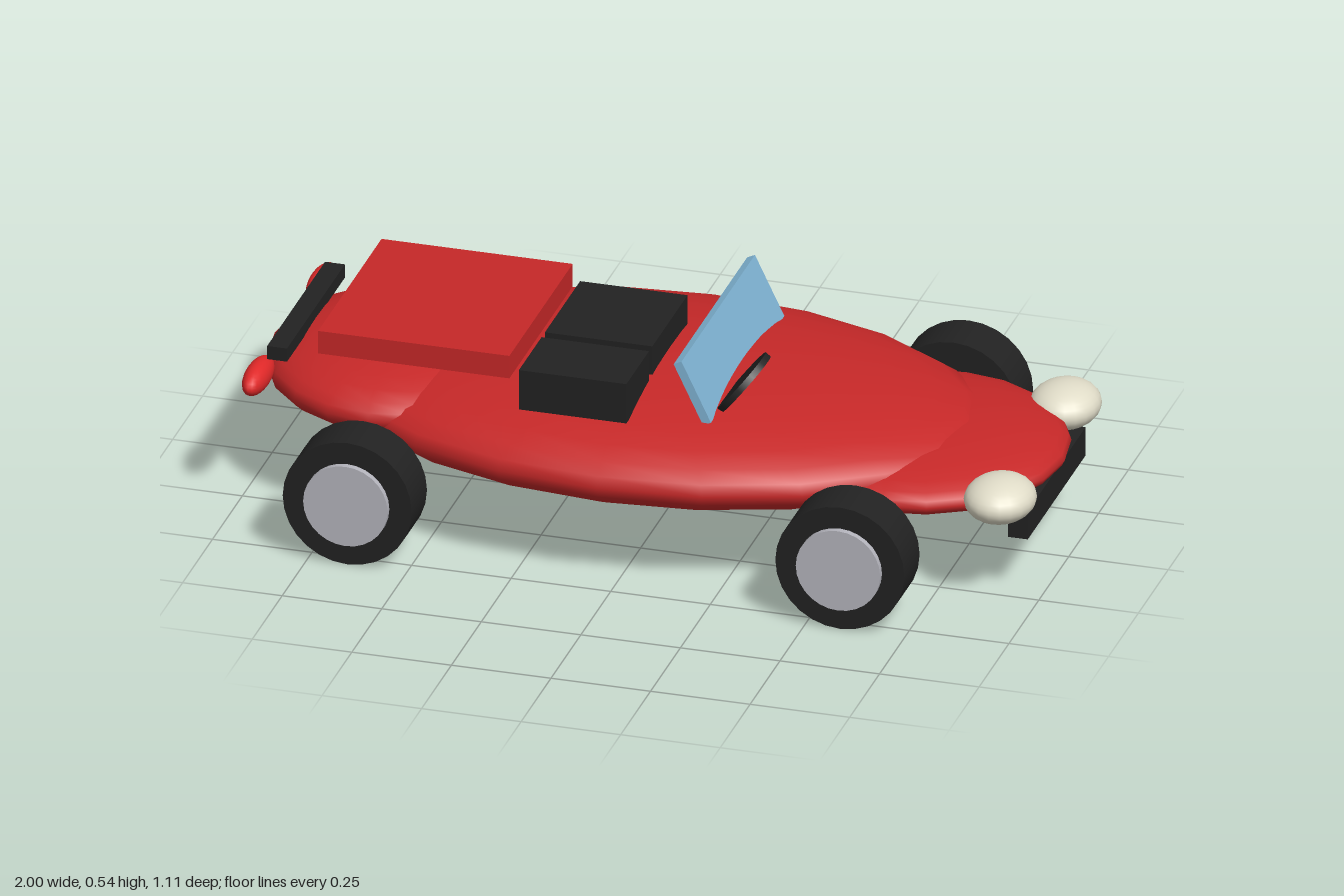
import * as THREE from 'three';

const mat = (name, color) => Object.assign(new THREE.MeshStandardMaterial({ color }), { name });

export function createModel() {
  const red = mat('body red', 0xc62828);
  const lampRed = mat('tail lamp red', 0xe02828);
  const black = mat('black', 0x222222);
  const silver = mat('hub silver', 0xb4b4bc);
  const cream = mat('headlamp cream', 0xe0dcc8);
  const blue = mat('glass blue', 0x7fb3d3);

  const car = new THREE.Group();
  car.name = 'car';

  const add = (name, geo, material, x, y, z, parent = car) => {
    const m = new THREE.Mesh(geo, material);
    m.name = name;
    m.position.set(x, y, z);
    parent.add(m);
    return m;
  };
  const box = (name, material, size, pos) => add(name, new THREE.BoxGeometry(...size), material, ...pos);
  // smooth ellipsoid given by its three radii
  const blob = (name, material, radii, pos, seg = 20) =>
    add(name, new THREE.SphereGeometry(1, seg, 16).scale(...radii), material, ...pos);

  // body: long hull with a nose and a tail
  blob('hull', red, [0.83, 0.14, 0.52], [-0.03, 0.28, 0]);
  blob('nose', red, [0.35, 0.075, 0.37], [0.64, 0.256, 0]);
  blob('tail', red, [0.35, 0.103, 0.37], [-0.65, 0.302, 0]);
  box('rearDeck', red, [0.48, 0.06, 0.53], [-0.565, 0.445, 0]);

  // cockpit
  box('wideSeat', black, [0.27, 0.105, 0.295], [-0.137, 0.437, -0.003]);
  box('narrowSeat', black, [0.27, 0.105, 0.19], [-0.137, 0.437, 0.267]);
  box('windshield', blue, [0.022, 0.17, 0.615], [0.147, 0.46, 0]).rotation.z = 0.45;
  add('steeringWheel', new THREE.CylinderGeometry(0.09, 0.09, 0.016, 24), black, 0.24, 0.447, 0.188).rotation.z = 0.9;

  // bumpers
  box('frontBumper', black, [0.05, 0.075, 0.485], [0.945, 0.192, 0]);
  box('rearBumper', black, [0.05, 0.035, 0.485], [-0.915, 0.388, 0]);

  for (const side of [1, -1]) {
    // lamps
    blob('headlamp', cream, [0.087, 0.055, 0.102], [0.91, 0.272, side * 0.272]);
    blob('tailLamp', lampRed, [0.031, 0.036, 0.09], [-0.955, 0.336, side * 0.267]);

    // wheels: tyre, outer hub disc and inner axle stub
    for (const x of [0.587, -0.65]) {
      const wheel = new THREE.Group();
      wheel.name = 'wheel';
      wheel.position.set(x, 0.162, side * 0.475);
      wheel.rotation.x = side * Math.PI / 2;
      car.add(wheel);
      add('tyre', new THREE.CylinderGeometry(0.162, 0.162, 0.128, 28), black, 0, 0, 0, wheel);
      add('hub', new THREE.CylinderGeometry(0.106, 0.106, 0.04, 28), silver, 0, 0.06, 0, wheel);
      add('axleStub', new THREE.CylinderGeometry(0.036, 0.036, 0.03, 16), black, 0, -0.057, 0, wheel);
    }
  }
  return car;
}
